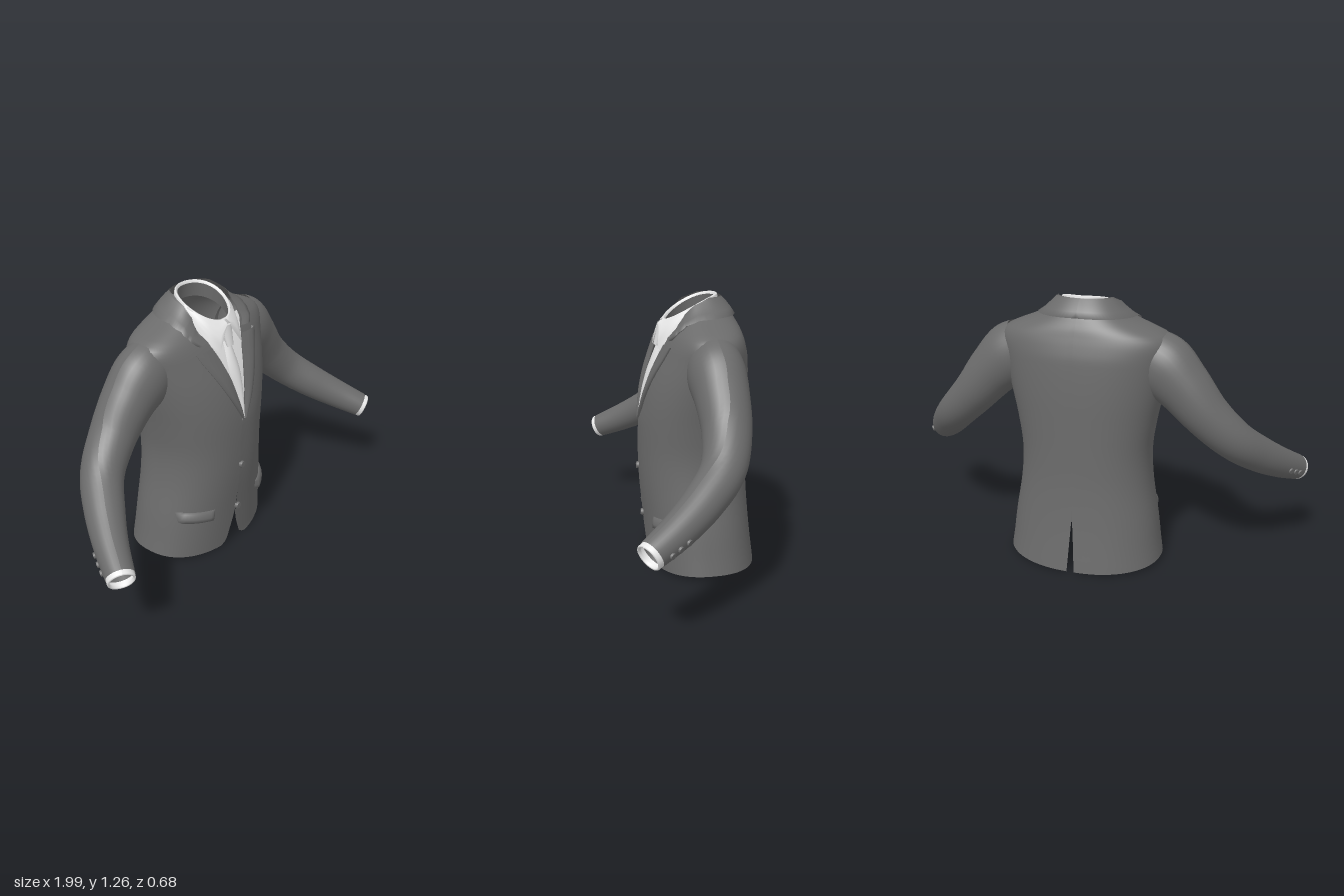
import * as THREE from 'three';

const mat = (name, color) => Object.assign(
  new THREE.MeshStandardMaterial({ color, side: THREE.DoubleSide }), { name });

// Torso rings: height, half width, front z, back z
const RINGS = [
  [0, .37, .155, -.342], [.2, .345, .172, -.318], [.4, .312, .19, -.303], [.55, .306, .194, -.3],
  [.7, .328, .19, -.3], [.8, .35, .177, -.3], [.9, .372, .152, -.297], [1, .392, .115, -.29],
  [1.06, .4, .09, -.277], [1.1, .375, .07, -.265], [1.13, .31, .052, -.255], [1.16, .235, .04, -.24],
  [1.18, .195, .035, -.23], [1.21, .16, .04, -.21], [1.255, .128, .06, -.18]];
// Angle of the front edge at each height (shared V opening on top, lapped and cut away below)
const NECK = [[.72, 0], [.8, .047], [.9, .097], [1, .17], [1.08, .25], [1.1, .3], [1.14, .48], [1.18, .75], [1.22, 1.2], [1.255, 1.8]];
const OPEN = {
  1: [[0, .16], [.012, .09], [.035, .03], [.17, -.06], [.6, -.06], ...NECK],
  '-1': [[0, .24], [.012, .18], [.035, .14], [.17, .05], [.6, .02], ...NECK],
};
const CZ = -.08, P = .87;

const segment = (tab, y) => {
  let i = 0;
  while (i < tab.length - 2 && y > tab[i + 1][0]) i++;
  return i;
};
function linear(tab, y, c = 1) {
  const i = segment(tab, y), [a, b] = [tab[i], tab[i + 1]];
  const t = THREE.MathUtils.clamp((y - a[0]) / (b[0] - a[0]), 0, 1);
  return a[c] + (b[c] - a[c]) * t;
}
function smooth(tab, y, c) {
  const i = segment(tab, y), a = tab[i], b = tab[i + 1], h = b[0] - a[0];
  const p = tab[Math.max(i - 1, 0)], n = tab[Math.min(i + 2, tab.length - 1)];
  const t = THREE.MathUtils.clamp((y - a[0]) / h, 0, 1);
  const ma = (b[c] - p[c]) / (b[0] - p[0]) * h, mb = (n[c] - a[c]) / (n[0] - a[0]) * h;
  const t2 = t * t, t3 = t2 * t;
  return a[c] * (2 * t3 - 3 * t2 + 1) + ma * (t3 - 2 * t2 + t) + b[c] * (3 * t2 - 2 * t3) + mb * (t3 - t2);
}
const spow = v => Math.sign(v) * Math.abs(v) ** P;

// Point on the torso at angle a (0 = front centre), height y, lifted by off
function surf(a, y, off = 0) {
  const c = Math.cos(a), depth = c > 0 ? smooth(RINGS, y, 2) - CZ : CZ - smooth(RINGS, y, 3);
  return [spow(Math.sin(a)) * (smooth(RINGS, y, 1) + off), y, CZ + spow(c) * (depth + off)];
}
const angleAt = (x, y) => Math.sign(x) * Math.asin(Math.min(1, Math.abs(x) / smooth(RINGS, y, 1)) ** (1 / P));

// Surface from a rule f(i, j) on a grid of nu x nv cells
function grid(nu, nv, f) {
  const pos = [], idx = [];
  for (let j = 0; j <= nv; j++) for (let i = 0; i <= nu; i++) pos.push(...f(i, j));
  for (let j = 0; j < nv; j++) for (let i = 0; i < nu; i++) {
    const k = j * (nu + 1) + i, l = k + nu + 1;
    idx.push(k, k + 1, l + 1, k, l + 1, l);
  }
  const g = new THREE.BufferGeometry();
  g.setAttribute('position', new THREE.Float32BufferAttribute(pos, 3));
  g.setIndex(idx);
  g.computeVertexNormals();
  return g;
}

export function createModel() {
  const model = new THREE.Group();
  model.name = 'suitJacket';
  const jacket = mat('jacketGrey', 0x6b6b6b), white = mat('shirtWhite', 0xe8e8e8), silk = mat('tieSilver', 0xdcdcdc);
  const add = (name, geo, m) => {
    const mesh = new THREE.Mesh(geo, m);
    mesh.name = name;
    model.add(mesh);
    return mesh;
  };
  const button = (name, pos, dir, r) => {
    const b = add(name, new THREE.CylinderGeometry(r * .85, r, .014, 16), jacket);
    b.position.copy(pos);
    b.quaternion.setFromUnitVectors(new THREE.Vector3(0, 1, 0), dir);
  };

  const ys = [0, .006, .012, .022, .035, .06];
  for (let y = .1; y < .99; y += .04) ys.push(y);
  for (let y = 1; y < 1.25; y += .015) ys.push(y);
  ys.push(1.255);

  for (const s of [1, -1]) {
    const side = s > 0 ? 'left' : 'right';

    // Body half, from front edge round to the back vent
    add(side + 'Body', grid(48, ys.length - 1, (i, j) => {
      const y = ys[j], a0 = linear(OPEN[s], y), a1 = Math.PI - .03 * Math.max(0, 1 - y / .27);
      const a = a0 + (a1 - a0) * i / 48;
      const lap = s > 0 && y < .72 ? .006 * Math.max(0, 1 - i / 6) : 0;
      const p = surf(s * a, y, lap);
      p[1] += .02 * Math.sin(a) ** 2 * Math.max(0, 1 - y / .1);
      return p;
    }), jacket);

    // Lapel with a folded outer edge
    const outer = [[.69, .008], [.8, .07], [.9, .125], [1, .182], [1.05, .205]];
    const lift = [.004, .012, .015, .014, 0];
    add(side + 'Lapel', grid(4, 18, (i, j) => {
      const y = .69 + .36 * j / 18, a0 = linear(NECK, y), a1 = angleAt(linear(outer, y), y);
      return surf(s * (a0 + (a1 - a0) * Math.min(1, i / 3)), y, lift[i]);
    }), jacket);

    // Collar strip from back centre to the notch: inner angle, inner y, outer angle, outer y
    const strip = [[0, Math.PI, 1.255, Math.PI, 1.18], [.35, 1.9, 1.252, 2, 1.175], [.5, 1.3, 1.226, 1.35, 1.168],
      [.65, .8, 1.184, .85, 1.145], [.8, .5, 1.143, .58, 1.115], [1, .26, 1.08, .4, 1.075]];
    add(side + 'Collar', grid(4, 40, (i, j) => {
      const t = j / 40, v = Math.min(1, i / 3), q = c => linear(strip, t, c);
      return surf(s * (q(1) + (q(3) - q(1)) * v), q(2) + (q(4) - q(2)) * v, lift[i]);
    }), jacket);

    // Pocket flap
    const flap = [[.262, 0], [.258, .012], [.232, .018], [.214, .018], [.212, 0]];
    add(side + 'PocketFlap', grid(12, 4, (i, j) => {
      const x = s * (.16 + .15 * i / 12), y = flap[j][0] - .012 + .016 * i / 12;
      return surf(angleAt(x, y), y, i % 12 ? flap[j][1] : 0);
    }), jacket);

    // Sleeve: centre line with radii along and across the frame
    const keys = [[.30, .99, -.09, .14, .12], [.36, .955, -.09, .147, .126], [.45, .875, -.095, .126, .118],
      [.56, .75, -.09, .105, .105], [.68, .63, -.045, .092, .095], [.78, .535, .06, .084, .086],
      [.865, .46, .175, .073, .073], [.932, .402, .285, .062, .062]];
    const line = new THREE.CatmullRomCurve3(keys.map(k => new THREE.Vector3(k[0] * s, k[1], k[2])));
    const radii = new THREE.CatmullRomCurve3(keys.map(k => new THREE.Vector3(k[3], k[4], 0)));
    const arm = (t, phi, scale = 1, along = 0) => {
      const T = line.getTangent(t), r = radii.getPoint(t);
      const N = new THREE.Vector3(0, 1, 0).addScaledVector(T, -T.y).normalize();
      const B = new THREE.Vector3().crossVectors(T, N).multiplyScalar(s);
      const dir = N.clone().multiplyScalar(Math.cos(phi) * r.x).addScaledVector(B, Math.sin(phi) * r.y);
      return { dir: dir.clone().normalize(), pos: line.getPoint(t).addScaledVector(dir, scale).addScaledVector(T, along) };
    };
    add(side + 'Sleeve', grid(32, 40, (i, j) => arm(j / 40, i / 16 * Math.PI).pos.toArray()), jacket);

    // Shirt cuff
    const cuff = [[.96, -.01], [.96, .018], [.92, .023], [.82, .021], [.8, .01]];
    add(side + 'Cuff', grid(32, 4, (i, j) => arm(1, i / 16 * Math.PI, ...cuff[j]).pos.toArray()), white);
    for (let k = 0; k < 3; k++) {
      const { pos, dir } = arm(.955 - k * .042, -1.85);
      button(side + 'SleeveButton', pos, dir, .015);
    }

    // Shirt collar leaf: rim angle, then lower edge point
    const leaf = [[1.6, .136, 1.18, -.05], [1.1, .134, 1.13, .02], [.7, .112, 1.065, .078], [.35, .08, 1.02, .118], [.06, .012, 1.12, .1]];
    add(side + 'ShirtCollarLeaf', grid(4, 4, (i, j) => {
      const [t, ...low] = leaf[i], v = j / 4, top = rim(s * t, .126);
      low[0] *= s;
      return top.map((c, k) => c + (low[k] - c) * v + (k === 2 ? .012 * Math.sin(v * Math.PI) : 0));
    }), white);
  }

  // Shirt collar band with a rounded rim, and its grey inside
  const band = [[.132, -.055], [.126, -.004], [.122, .001], [.116, 0], [.113, -.012]];
  add('shirtCollarBand', grid(48, 4, (i, j) => rim(i / 24 * Math.PI, ...band[j])), white);
  add('collarLining', grid(48, 1, (i, j) => rim(i / 24 * Math.PI, .113 + .006 * j, -.012 - .065 * j)), jacket);

  // Shirt front seen in the V
  add('shirtFront', grid(16, 20, (i, j) => {
    const y = .67 + .46 * j / 20, w = linear(NECK, y) + .06;
    return surf(w * (i / 8 - 1), y, -.012);
  }), white);

  // Tie blade and knot
  const blade = [[.69, .006], [.8, .022], [.9, .036], [.95, .036], [1.04, .022]];
  add('tieBlade', grid(8, 16, (i, j) => {
    const y = .69 + .36 * j / 16, u = i / 4 - 1;
    return surf(angleAt(u * linear(blade, y), y), y, -.008 + .018 * (1 - u * u));
  }), silk);
  const knot = add('tieKnot', new THREE.CylinderGeometry(.034, .02, .095, 16), silk);
  knot.scale.z = .6;
  knot.position.set(0, 1.075, .098);
  knot.rotation.x = -.3;

  // Front buttons
  for (const y of [.45, .21]) {
    button('frontButton', new THREE.Vector3(...surf(-.03, y, .01)), new THREE.Vector3(0, 0, 1), .018);
  }
  return model;
}

// Neck rim: a ring that rises from front to back
function rim(t, r, dy = 0) {
  return [Math.sin(t) * r, 1.264 - .115 * ((1 + Math.cos(t)) / 2) ** 1.5 + dy, -.045 + Math.cos(t) * r];
}
